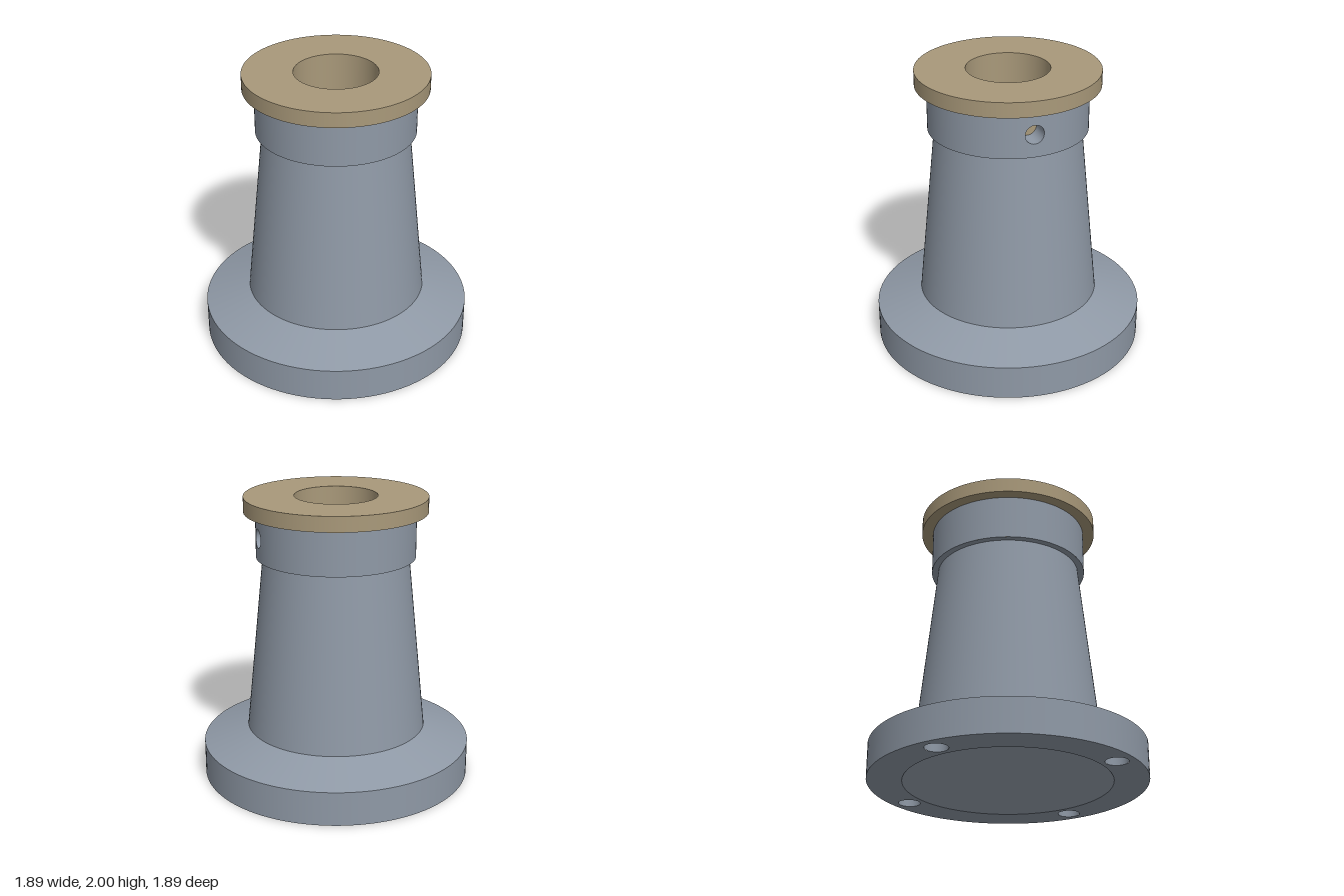
import * as THREE from 'three';
import { mergeGeometries } from 'three/addons/utils/BufferGeometryUtils.js';
import { ParametricGeometry } from 'three/addons/geometries/ParametricGeometry.js';

const SEG = 96;

// Turned surface with a sharp edge at every profile point
function turned(points, segments = SEG) {
  const bands = [];
  for (let i = 0; i < points.length - 1; i++) {
    const pair = [points[i], points[i + 1]].map(([r, y]) => new THREE.Vector2(r, y));
    bands.push(new THREE.LatheGeometry(pair, segments));
  }
  return mergeGeometries(bands);
}

export function createModel() {
  const group = new THREE.Group();
  const steel = new THREE.MeshStandardMaterial({ color: 0x8f99a6 });
  steel.name = 'steel grey';
  const bronze = new THREE.MeshStandardMaterial({ color: 0xa9997a });
  bronze.name = 'bronze tan';

  const add = (name, geometry, material) => {
    const mesh = new THREE.Mesh(geometry, material);
    mesh.name = name;
    group.add(mesh);
    return mesh;
  };

  // Foot flange and tapered column
  const baseR = 0.945, mouthR = 0.708, boreR = 0.285;
  add('baseFlange', turned([[baseR, 0], [baseR, 0.24], [0.63, 0.35]]), steel);
  add('column', turned([[0.63, 0.35], [0.505, 1.58]]), steel);

  // Hollow inside: bore opening into a wide cone
  const sleeveEnd = 1.45;
  add('innerBore', turned([[boreR, sleeveEnd], [boreR, 0.46], [mouthR, 0]]), steel);

  // Underside ring with four blind bolt holes on the diagonals
  const boltR = 0.077, boltCircle = 0.82;
  const ring = new THREE.Shape().absarc(0, 0, baseR, 0, Math.PI * 2);
  ring.holes.push(new THREE.Path().absarc(0, 0, mouthR, 0, Math.PI * 2, true));
  const boltGeometry = turned([[0, 0.2], [boltR, 0.2], [boltR, 0]], 32);
  for (let i = 0; i < 4; i++) {
    const a = Math.PI / 4 + i * Math.PI / 2;
    const x = boltCircle * Math.cos(a), z = boltCircle * Math.sin(a);
    ring.holes.push(new THREE.Path().absarc(x, z, boltR, 0, Math.PI * 2, true));
    add('boltHole', boltGeometry, steel).position.set(x, 0, z);
  }
  add('underside', new THREE.ShapeGeometry(ring, 48).rotateX(Math.PI / 2), steel);

  // Collar: shoulder, plain wall, and a square patch on +x pierced by a round hole
  const collarR = 0.55, y0 = 1.58, y1 = 1.895, sleeveR = 0.4;
  const half = (y1 - y0) / 2, midY = (y0 + y1) / 2, holeR = 0.065;
  const spread = half / collarR;
  add('collarShoulder', turned([[0.505, y0], [collarR, y0]]), steel);
  const wall = new THREE.CylinderGeometry(collarR, collarR, y1 - y0, SEG, 1, true,
    Math.PI / 2 + spread, Math.PI * 2 - 2 * spread);
  add('collarWall', wall.translate(0, midY, 0), steel);

  const patch = new ParametricGeometry((u, v, p) => {
    const t = -u * Math.PI * 2, c = Math.cos(t), s = Math.sin(t);
    const edge = half / Math.max(Math.abs(c), Math.abs(s));
    const d = THREE.MathUtils.lerp(holeR, edge, v);
    const a = d * s / collarR;
    p.set(collarR * Math.cos(a), midY + d * c, collarR * Math.sin(a));
  }, 48, 4);
  add('collarHolePatch', patch, steel);

  const holeWall = new ParametricGeometry((u, v, p) => {
    const t = -u * Math.PI * 2;
    const z = holeR * Math.sin(t);
    const inner = Math.sqrt(sleeveR ** 2 - z * z), outer = Math.sqrt(collarR ** 2 - z * z);
    p.set(THREE.MathUtils.lerp(inner, outer, v), midY + holeR * Math.cos(t), z);
  }, 48, 1);
  add('collarSideHole', holeWall, steel);

  // Flanged bushing seated in the top
  add('bushing', turned([
    [sleeveR, sleeveEnd], [sleeveR, y1], [0.63, y1], [0.63, 2],
    [boreR, 2], [boreR, sleeveEnd], [sleeveR, sleeveEnd],
  ]), bronze);

  return group;
}
